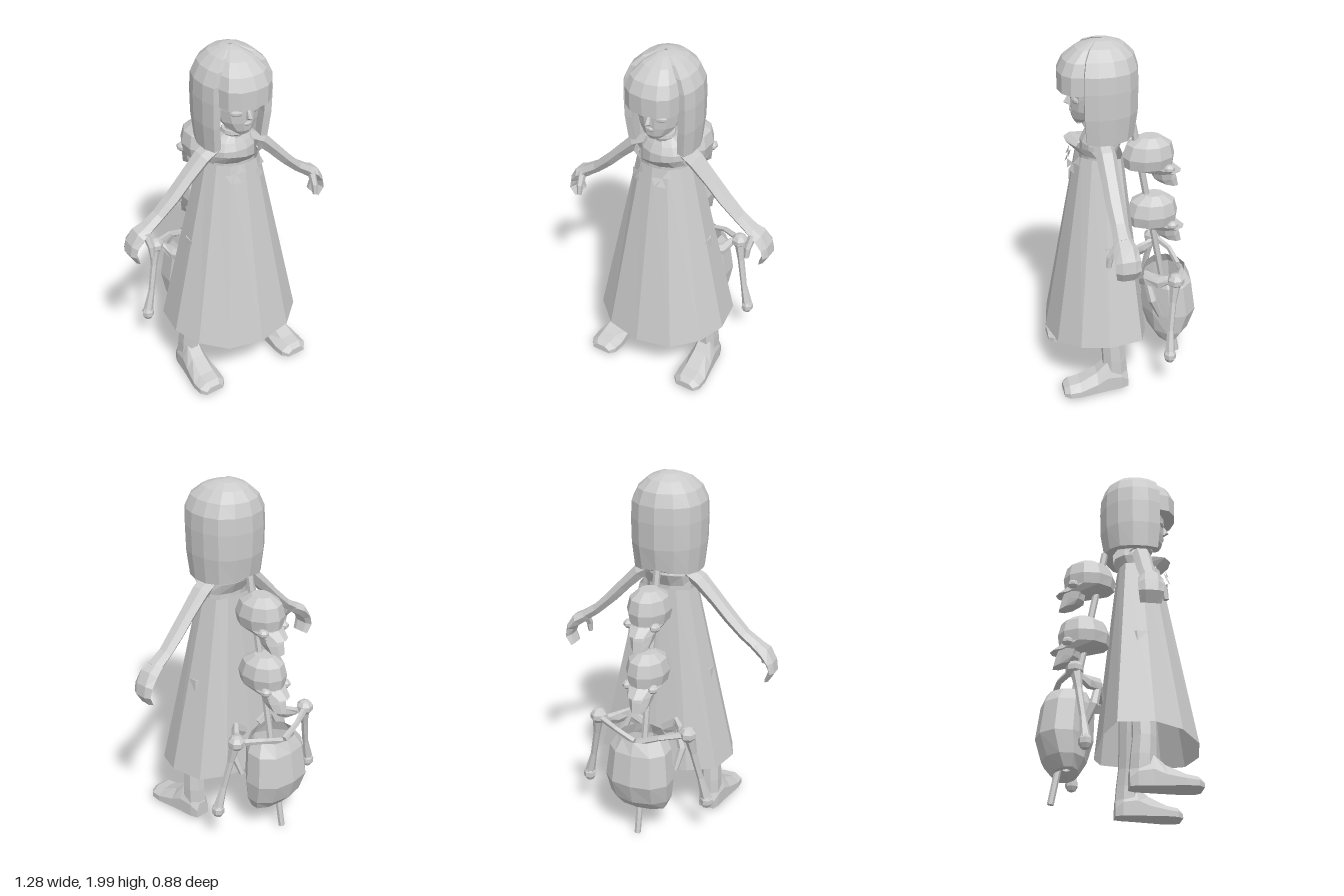
import * as THREE from 'three';

const grey = new THREE.MeshStandardMaterial({ color: 0xcccccc, flatShading: true });
grey.name = 'paleGrey';
const greySheet = new THREE.MeshStandardMaterial({ color: 0xcccccc, flatShading: true, side: THREE.DoubleSide });
greySheet.name = 'paleGrey';

// Skin a list of equal-length rings of [x, y, z]; closed lofts are turned to face outward
function loft(name, rings, open = false) {
  const n = rings[0].length, pos = rings.flat(2), idx = [];
  for (let r = 0; r < rings.length - 1; r++) for (let i = 0; i < n; i++) {
    const a = r * n + i, b = r * n + (i + 1) % n;
    idx.push(a, b, a + n, b, b + n, a + n);
  }
  if (!open) {
    for (const r of [0, rings.length - 1]) {
      // flat end caps, triangulated so that concave outlines work too
      const P = rings[r].map(p => new THREE.Vector3(...p)), normal = new THREE.Vector3();
      P.forEach((p, i) => normal.add(p.clone().cross(P[(i + 1) % n])));
      normal.normalize();
      const u = new THREE.Vector3(Math.abs(normal.x) < 0.8 ? 1 : 0, Math.abs(normal.x) < 0.8 ? 0 : 1, 0);
      u.cross(normal).normalize();
      const v = normal.clone().cross(u);
      const flat = P.map(p => new THREE.Vector2(p.dot(u), p.dot(v)));
      for (const t of THREE.ShapeUtils.triangulateShape(flat, [])) {
        const f = t.map(i => i + r * n);
        idx.push(...(r === 0 ? [f[0], f[2], f[1]] : f));
      }
    }
    const p = i => new THREE.Vector3().fromArray(pos, i * 3);
    let volume = 0;
    for (let i = 0; i < idx.length; i += 3) volume += p(idx[i]).dot(p(idx[i + 1]).cross(p(idx[i + 2])));
    if (volume < 0) idx.reverse();
  }
  const g = new THREE.BufferGeometry();
  g.setAttribute('position', new THREE.Float32BufferAttribute(pos, 3));
  g.setIndex(idx);
  g.computeVertexNormals();
  const m = new THREE.Mesh(g, open ? greySheet : grey);
  m.name = name;
  return m;
}

const oval = (y, rx, rz, cz = 0, n = 12, cx = 0) => Array.from({ length: n }, (_, i) => {
  const a = (i + 0.5) / n * Math.PI * 2;
  return [cx + rx * Math.cos(a), y, cz + rz * Math.sin(a)];
});

// Limb along points [x, y, z, half width, half depth]
function limb(name, pts, n = 6) {
  const V = pts.map(p => new THREE.Vector3(p[0], p[1], p[2]));
  return loft(name, pts.map((p, k) => {
    const t = V[Math.min(k + 1, V.length - 1)].clone().sub(V[Math.max(k - 1, 0)]).normalize();
    const s = t.clone().cross(new THREE.Vector3(0, 0, 1)).normalize(), d = s.clone().cross(t);
    return Array.from({ length: n }, (_, i) => {
      const a = (i + 0.5) / n * Math.PI * 2;
      return V[k].clone().addScaledVector(s, Math.cos(a) * p[3])
        .addScaledVector(d, Math.sin(a) * (p[4] ?? p[3])).toArray();
    });
  }));
}

// Mirror half an outline [x, z] across x = 0 (first and last points lie on the centre line)
const mirror = half => [...half, ...half.slice(1, -1).reverse().map(([x, ...r]) => [-x, ...r])];

function blob(name, x, y, z, sx, sy, sz) {
  const m = new THREE.Mesh(new THREE.SphereGeometry(1, 7, 5), grey);
  m.position.set(x, y, z);
  m.scale.set(sx, sy, sz);
  m.name = name;
  return m;
}

function makeHead() {
  const g = new THREE.Group();
  g.name = 'head';
  g.add(loft('face', [[1.555, .035, .03, .215], [1.58, .07, .07, .19], [1.63, .11, .105, .162], [1.7, .13, .125, .145],
    [1.8, .14, .13, .14], [1.88, .08, .08, .14]].map(([y, rx, rz, cz]) => oval(y, rx, rz, cz))));
  g.add(loft('nose', [[1.71, .01, .012, .262], [1.665, .015, .028, .274], [1.65, .016, .012, .266]]
    .map(([y, rx, rz, cz]) => oval(y, rx, rz, cz, 6))));
  g.add(blob('lips', 0, 1.622, .258, .028, .014, .014));
  for (const s of [-1, 1]) {
    const eye = blob('eye', s * .06, 1.69, .25, .034, .018, .012);
    eye.rotation.y = s * .4;
    g.add(eye);
  }
  // Bob: a thick C-shaped wall closing to a crown
  const right = [[.9, .6], [1, .25], [.99, -.2], [.84, -.6], [.5, -.88]];
  const inner = [[.5, -.62], [.72, -.2], [.76, .2], [.68, .58]];
  const flip = a => a.map(([x, z]) => [-x, z]).reverse();
  const bob = [...right, [0, -1], ...flip(right), ...flip(inner), [0, -.72], ...inner];
  g.add(loft('bobHair', [[1.475, .185, .18], [1.62, .2, .2], [1.76, .203, .203], [1.85, .198, .198], [1.92, .165, .175],
    [1.97, .11, .125], [1.995, .05, .06], [2, .01, .01]]
    .map(([y, rx, rz], k) => bob.map(([x, z]) => [x * rx, k ? y : y + .03 * (.9 - Math.abs(x)), .1 + z * rz]))));
  // Crown fill and straight fringe
  const fringe = mirror([[0, 1.1], [.4, 1.04], [.66, .85], [.75, .5], [.7, 0], [0, -.4]]);
  g.add(loft('fringe', [[1.74, 1], [1.84, 1], [1.905, .87], [1.96, .58], [1.99, .25], [1.998, .06]]
    .map(([y, f]) => fringe.map(([x, z]) => [x * .2 * f, y, .1 + z * .213 * f]))));
  return g;
}

function makeDress() {
  const g = new THREE.Group();
  g.name = 'dress';
  const hem = mirror([[0, .437, .3], [.2, .4, .31], [.33, .29, .335], [.388, .14, .35], [.355, -.05, .35], [.2, -.105, .33], [0, -.115, .31]]);
  g.add(loft('skirt', [hem.map(([x, z, y]) => [x, y, z]),
    hem.map(([x, z]) => [x * .41, 1.375, .12 + (z - .16) * .45])], true));
  g.add(loft('torso', [[1.3, .135, .1], [1.44, .135, .095], [1.48, .11, .075], [1.525, .055, .05]]
    .map(([y, rx, rz]) => oval(y, rx, rz, .12))));
  g.add(loft('neck', [oval(1.48, .055, .05, .13), oval(1.58, .05, .05, .14)]));
  g.add(loft('choker', [oval(1.52, .06, .06, .135), oval(1.53, .07, .068, .135), oval(1.55, .066, .064, .137)]));
  // Flared bust band, lower at the arms
  const low = oval(1.385, .15, .11, .125);
  const high = oval(1.455, .15, .165, .14).map(([x, y, z]) => [x, y - .03 * Math.abs(x / .15) ** 4, z]);
  g.add(loft('bustBand', [low, high], true));
  // Little ribbon bows
  for (const s of [-1, 1]) {
    for (const [dx, dy, turn] of [[-.03, .005, .4], [.03, .005, -.5], [.005, -.025, 1.6]]) {
      const tri = new THREE.Shape([new THREE.Vector2(0, 0), new THREE.Vector2(.05, .03), new THREE.Vector2(.05, -.02)]);
      const m = new THREE.Mesh(new THREE.ShapeGeometry(tri), greySheet);
      m.position.set(s * .075, 1.345, .268);
      m.rotation.set(-.3, s * .5, dx < 0 ? Math.PI + turn : -turn);
      m.name = 'bow';
      g.add(m);
    }
  }
  return g;
}

// Model's left arm and leg; the other side is mirrored
function makeLimbs(s) {
  const g = new THREE.Group();
  g.name = s > 0 ? 'leftLimbs' : 'rightLimbs';
  const m = pts => pts.map(([x, ...r]) => [s * x, ...r]);
  g.add(limb('arm', m([[.09, 1.46, .115, .04, .05], [.18, 1.41, .11, .045, .055], [.28, 1.31, .107, .038, .05],
    [.36, 1.225, .105, .036, .05], [.45, 1.14, .1, .032, .045], [.53, 1.085, .1, .034, .05]])));
  g.add(limb('hand', m([[.51, 1.095, .1, .032, .048], [.57, 1.06, .095, .038, .065], [.61, 1.01, .09, .026, .068],
    [.622, .96, .09, .02, .066], [.595, .905, .09, .013, .055]])));
  g.add(limb('thumb', m([[.545, 1.07, .13, .022, .03], [.54, 1.01, .17, .018, .02], [.54, .955, .178, .013, .015]])));
  g.add(limb('leg', m([[.2, .9, .1, .07, .08], [.24, .5, .1, .06, .065], [.268, .3, .1, .058, .065],
    [.275, .2, .093, .058, .07], [.275, .1, .09, .06, .075]]), 8));
  // Foot from cross-sections: z, inner x, outer x, top y
  g.add(loft('foot', [[.02, .235, .32, .12], [.06, .215, .335, .18], [.14, .21, .345, .2], [.2, .205, .355, .145],
    [.3, .2, .373, .1], [.36, .207, .37, .09], [.39, .235, .345, .07]].map(([z, a, b, h]) => {
    const c = (a + b) / 2, w = (b - a) / 2;
    return [[-1, .03], [1, .03], [1, .03 + (h - .03) * .5], [.5, h], [-.5, h], [-1, .03 + (h - .03) * .5]]
      .map(([u, y]) => [s * (c + u * w), y, z]);
  })));
  return g;
}

// Skull facing backward, measured from its top
function makeSkull(top, z) {
  const g = new THREE.Group();
  g.name = 'skull';
  g.add(loft('cranium', [[-.215, .07, .09, -.1], [-.17, .105, .14, 0], [-.11, .118, .148, 0], [-.04, .1, .125, -.005], [0, .05, .06, -.01]]
    .map(([y, rx, rz, cz]) => oval(top + y, rx, rz, z + cz, 10))));
  g.add(loft('upperJaw', [[-.29, .05, .06, -.115], [-.25, .065, .068, -.095], [-.17, .085, .06, -.075]]
    .map(([y, rx, rz, cz]) => oval(top + y, rx, rz, z + cz, 8).map(([x, yy, zz]) => [x, yy + (y < -.28 ? (zz - z + .115) * .3 : 0), zz]))));
  for (const s of [-1, 1]) g.add(blob('cheekbone', s * .075, top - .175, z - .1, .03, .025, .035));
  return g;
}

function makeBones() {
  const g = new THREE.Group();
  g.name = 'boneStaff';
  g.add(limb('staff', [[-.005, 1.5, -.075, .02], [-.005, .01, -.35, .018]]));
  g.add(makeSkull(1.43, -.16), makeSkull(1.08, -.185));
  // Rib basket, open on top
  g.add(loft('ribBasket', [[.61, .13, .115, -.27], [.54, .175, .145, -.27], [.36, .195, .155, -.285], [.24, .18, .12, -.285], [.175, .15, .07, -.275], [.2, .02, .02, -.27]]
    .map(([y, rx, rz, cz]) => oval(y, rx, rz, cz, 10).map(([x, yy, z]) => [x, yy, z - (y < .6 && y > .3 ? .02 * Math.abs(x) / rx : 0)])), true));
  for (const s of [-1, 1]) {
    const m = pts => pts.map(([x, ...r]) => [s * x, ...r]);
    g.add(limb('collarBone', m([[.01, .6, -.35, .018], [.13, .64, -.33, .016], [.26, .66, -.27, .02]]), 5));
    g.add(limb('shoulderBlade', m([[.06, .57, -.1, .03, .02], [.15, .63, -.12, .045, .02], [.2, .62, -.18, .04, .025], [.23, .65, -.25, .02, .02]])));
    g.add(limb('sideRib', m([[.14, .64, -.12, .02], [.19, .5, -.15, .025], [.17, .38, -.2, .015]])));
    g.add(blob('shoulderKnob', s * .27, .66, -.26, .05, .045, .05));
    g.add(limb('armBone', m([[.275, .66, -.255, .035], [.295, .54, -.24, .02], [.33, .38, -.22, .018], [.365, .25, -.21, .03]])));
    g.add(blob('wristKnob', s * .365, .235, -.21, .037, .045, .037));
  }
  return g;
}

export function createModel() {
  const model = new THREE.Group();
  model.name = 'girlWithBoneStaff';
  model.add(makeHead(), makeDress(), makeLimbs(1), makeLimbs(-1), makeBones());
  return model;
}
